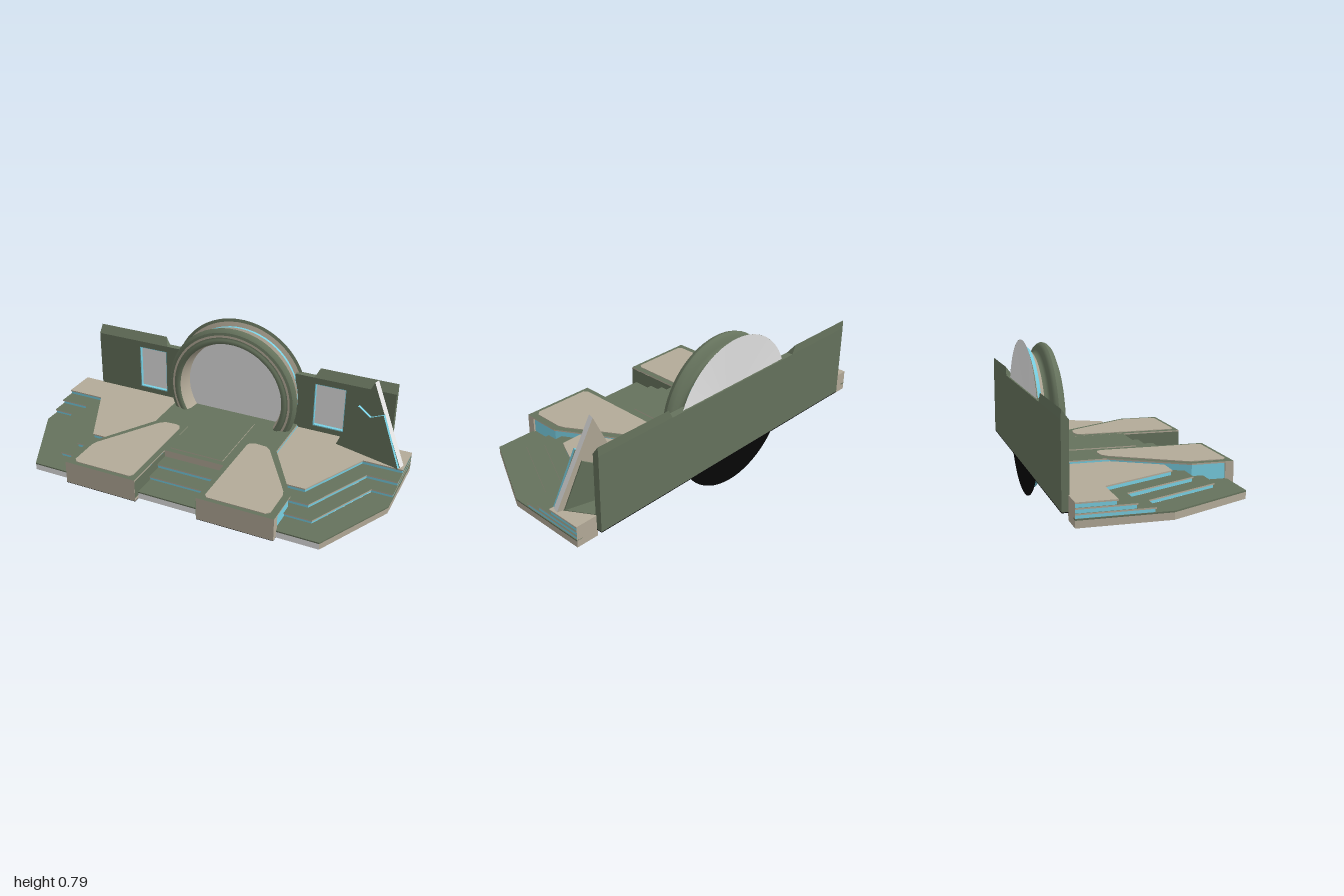
import * as THREE from 'three';

const mat = (name, color) => {
  const m = new THREE.MeshStandardMaterial({ color, side: THREE.DoubleSide });
  m.name = name;
  return m;
};

export function createModel() {
  const green = mat('moss green', 0x65725c);
  const tan = mat('stone tan', 0xb3aa98);
  const blue = mat('glow blue', 0x78cfe2);
  const grey = mat('pale grey', 0xeaeaea);
  const black = mat('underside black', 0x060606);
  const model = new THREE.Group();

  const add = (name, geo, material, parent = model) => {
    const mesh = new THREE.Mesh(geo, material);
    mesh.name = name;
    parent.add(mesh);
    return mesh;
  };
  const shapeOf = pts => new THREE.Shape(pts.map(p => new THREE.Vector2(p[0], p[1])));
  const flip = (pts, s) => pts.map(([x, y]) => [x * s, y]);
  const mirrored = pts => [...flip(pts, -1).reverse(), ...pts];
  const box = (name, x0, x1, y0, y1, z0, z1, m) => add(name,
    new THREE.BoxGeometry(Math.abs(x1 - x0), y1 - y0, z1 - z0)
      .translate((x0 + x1) / 2, (y0 + y1) / 2, (z0 + z1) / 2), m);

  // Flat slab from an outline of [x, z] points
  const slab = (name, pts, y0, y1, top, edge = top) => add(name,
    new THREE.ExtrudeGeometry(shapeOf(pts.map(([x, z]) => [x, -z])), { depth: y1 - y0, bevelEnabled: false })
      .rotateX(-Math.PI / 2).translate(0, y0, 0), [top, edge]);

  // Upright strip along a path of [x, z] points
  const ribbon = (name, pts, y0, y1, m) => {
    const v = [];
    for (let i = 0; i < pts.length - 1; i++) {
      const [ax, az] = pts[i], [bx, bz] = pts[i + 1];
      v.push(ax, y0, az, bx, y0, bz, bx, y1, bz, ax, y0, az, bx, y1, bz, ax, y1, az);
    }
    const g = new THREE.BufferGeometry();
    g.setAttribute('position', new THREE.Float32BufferAttribute(v, 3));
    g.computeVertexNormals();
    return add(name, g, m);
  };

  // Terraces: thin lips over recessed glowing risers
  const back = -0.43, lip = 0.007;
  const tiers = [
    { y: 0.16, path: [[0.79, 0.42], [1, 0]] },
    { y: 0.182, path: [[0.71, 0.30], [0.89, -0.08], [1, -0.08]] },
    { y: 0.206, path: [[0.66, 0.215], [0.84, -0.16], [1, -0.16]] },
    { y: 0.23, path: [[0.61, 0.13], [0.79, -0.245], [1, -0.245]] },
  ];
  tiers.forEach(({ y, path }, i) => {
    const outer = mirrored([...path, [1, back]]);
    if (i < 3) {
      const next = tiers[i + 1].path.map(([x, z]) => [Math.min(x, 0.97), z - 0.012]);
      const inner = mirrored([...next, [0.97, back]]);
      slab('terraceStep', [...outer, ...inner.reverse()], y - lip, y, green, i ? tan : green);
    } else slab('terraceFloor', outer, y - lip, y, tan);
    if (i > 0) {
      const inset = outer.map(([x, z]) => [x * 0.996, z > back ? z - 0.006 : z]);
      ribbon('glowRiser', inset, tiers[i - 1].y, y - lip, blue);
    }
  });

  // Base skirt, closed at the back beside the wall
  ribbon('frontSkirt', [[-0.79, 0.419], [0.79, 0.419]], 0.12, 0.155, grey);
  for (const s of [1, -1]) {
    ribbon('sideSkirt', flip([[0.79, 0.419], [0.999, 0], [0.999, back]], s), 0.12, 0.155, tan);
    ribbon('rearSkirt', flip([[0.88, back], [0.999, back]], s), 0.12, 0.23, tan);
  }

  // Central deck with a raised runner and a dark underside
  slab('centralDeck', mirrored([[0.17, 0.13], [0.17, 0.06], [0.25, 0.06], [0.36, -0.1], [0.36, back]]), 0.206, 0.2435, green, tan);
  slab('deckRunner', mirrored([[0.15, 0.1], [0.15, -0.32]]), 0.2435, 0.249, green, tan);
  slab('deckUnderside', mirrored([[0.36, 0.128], [0.36, back]]), 0.2, 0.205, black);

  // Front planters
  for (const s of [1, -1]) {
    const rim = [[0.17, 0.452], [0.575, 0.452], [0.575, 0.24], [0.37, -0.1], [0.345, -0.14], [0.17, -0.14]];
    slab('planterRim', flip(rim, s), 0.238, 0.245, green, tan);
    const bed = [[0.2, 0.41], [0.215, 0.43], [0.52, 0.43], [0.54, 0.41], [0.54, 0.25], [0.53, 0.22],
      [0.33, -0.1], [0.3, -0.125], [0.24, -0.13], [0.21, -0.12], [0.2, -0.1]];
    slab('planterBed', flip(bed, s), 0.245, 0.249, tan);
    box('planterFront', s * 0.17, s * 0.575, 0.122, 0.238, 0.41, 0.452, tan);
    box('planterFrontBase', s * 0.17, s * 0.575, 0.12, 0.122, 0.41, 0.452, black);
    box('planterUnderside', s * 0.18, s * 0.565, 0.142, 0.15, 0.29, 0.41, black);
    ribbon('planterInnerWall', flip([[0.169, 0.452], [0.169, 0.12]], s), 0.14, 0.238, green);
    ribbon('planterGlowWall', flip([[0.566, 0.41], [0.566, 0.243], [0.364, -0.1], [0.364, back]], s), 0.16, 0.238, blue);
  }

  // Back wall with two windows and bevelled crests
  box('wallBack', -0.885, 0.885, 0.157, 0.55, -0.46, -0.452, green);
  box('wallUnderside', -0.885, 0.885, 0.153, 0.157, -0.46, -0.426, black);
  for (const s of [1, -1]) {
    const wall = shapeOf(flip([[0.335, 0.157], [0.885, 0.157], [0.885, 0.55], [0.335, 0.55]], s));
    const hole = (a, b, c, d) => flip([[a, c], [b, c], [b, d], [a, d]], s).map(p => new THREE.Vector2(...p));
    wall.holes.push(new THREE.Path(hole(0.447, 0.62, 0.26, 0.515)));
    add('wallFront', new THREE.ExtrudeGeometry(wall, { depth: 0.027, bevelEnabled: false }).translate(0, 0, -0.452), green);
    const frame = shapeOf(flip([[0.447, 0.26], [0.62, 0.26], [0.62, 0.515], [0.447, 0.515]], s));
    frame.holes.push(new THREE.Path(hole(0.451, 0.616, 0.265, 0.511)));
    add('windowFrame', new THREE.ExtrudeGeometry(frame, { depth: 0.023, bevelEnabled: false }).translate(0, 0, -0.45), blue);
    box('windowPane', s * 0.449, s * 0.618, 0.262, 0.513, -0.451, -0.446, grey);
    const crest = new THREE.BoxGeometry(0.445, 0.045, 0.035).translate(s * 0.6625, 0.5725, -0.4425);
    const p = crest.attributes.position;
    for (let i = 0; i < p.count; i++) if (p.getY(i) > 0.57) {
      p.setZ(i, -0.458);
      if (Math.abs(p.getX(i)) < 0.5) p.setX(i, s * 0.462);
    }
    crest.computeVertexNormals();
    add('wallCrest', crest, green);
  }

  // Round portal: lathed bands of [radius, z], with an optional dark sector at the bottom
  const portal = new THREE.Group();
  portal.name = 'portal';
  portal.position.y = 0.395;
  model.add(portal);
  const band = (name, pts, m, darkDegrees = 0) => {
    const half = THREE.MathUtils.degToRad(darkDegrees);
    const sector = (label, start, length, material) => add(label,
      new THREE.LatheGeometry(pts.map(q => new THREE.Vector2(q[0], q[1])), Math.ceil(length * 10), start, length)
        .rotateX(Math.PI / 2), material, portal);
    sector(name, half, 2 * (Math.PI - half), m);
    if (half) sector(name + 'Shade', -half, 2 * half, black);
  };
  band('portalFlangeEdge', [[0.395, -0.452], [0.379, -0.446]], green, 25);
  band('portalFlange', [[0.379, -0.446], [0.355, -0.438]], tan, 42);
  band('portalGlowBand', [[0.355, -0.438], [0.355, -0.422]], blue);
  band('portalCollar', [[0.355, -0.422], [0.328, -0.402]], tan, 42);
  band('portalRingRear', [[0.328, -0.402], [0.326, -0.385], [0.342, -0.377], [0.365, -0.37], [0.375, -0.358],
    [0.379, -0.347]], green, 42);
  band('portalRingFront', [[0.379, -0.347], [0.375, -0.332], [0.364, -0.32]], green, 30);
  band('portalRingFace', [[0.364, -0.32], [0.35, -0.316]], green);
  band('portalTrim', [[0.35, -0.316], [0.338, -0.315]], tan);
  band('portalLip', [[0.338, -0.315], [0.328, -0.314], [0.325, -0.305], [0.31, -0.305], [0.302, -0.315]], green);
  band('portalThroat', [[0.302, -0.315], [0.292, -0.345], [0.286, -0.405]], tan);
  add('portalDisc', new THREE.CircleGeometry(0.288, 64).translate(0, 0, -0.4), grey, portal);
  band('portalBackDish', [[0, -0.415], [0.395, -0.452]], grey, 60);

  // Pointed spike at the left rear, turned slightly
  slab('spikePad', [[0.63, back], [0.61, -0.37], [0.98, -0.27], [0.88, back]], 0.23, 0.233, green);
  const spike = new THREE.Group();
  spike.name = 'spike';
  spike.position.set(0.8, 0.225, -0.322);
  spike.rotation.y = -0.27;
  model.add(spike);
  const plate = (name, pts, z, depth, face, edge) => add(name,
    new THREE.ExtrudeGeometry(shapeOf(pts), { depth, bevelEnabled: false }).translate(0, 0, z), [face, edge], spike);
  const blade = [[-0.195, 0], [0.195, 0], [0, 0.43]];
  const chevron = [[-0.19, 0], [0.19, 0], [0.075, 0.275], [0, 0.235], [-0.075, 0.275]];
  plate('spikeBlade', blade, -0.016, 0.032, green, grey);
  plate('spikeBackFace', blade, -0.019, 0.003, tan, grey);
  plate('spikeFrontPanel', chevron, 0.016, 0.015, green, blue);
  plate('spikeBackPanel', chevron.map(([x, y]) => [x * 0.85, y * 0.85]), -0.026, 0.007, green, green);

  return model;
}
